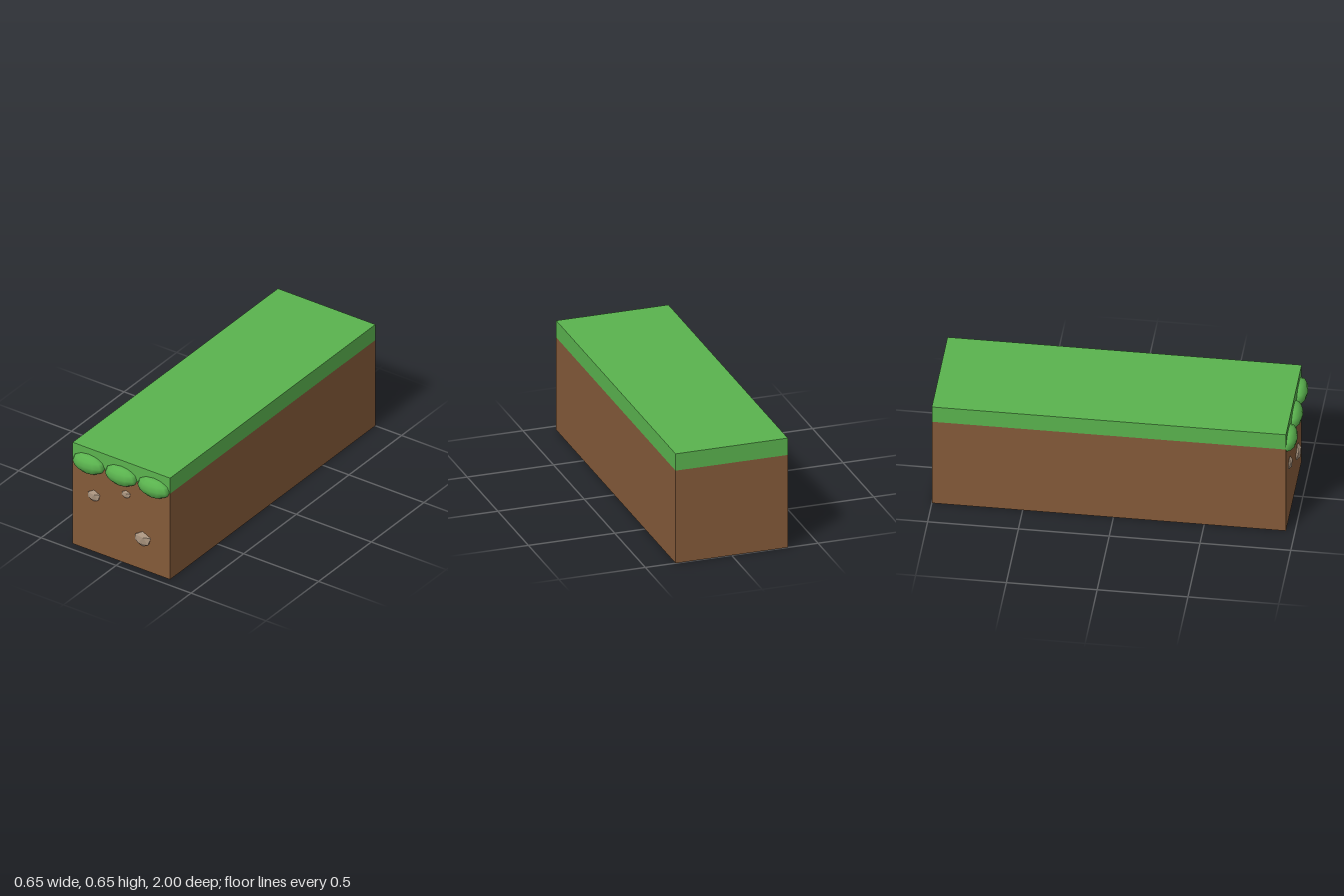
import * as THREE from 'three';

export function createModel() {
  const model = new THREE.Group();
  const material = (name, color, flatShading = false) => {
    const m = new THREE.MeshStandardMaterial({ color, flatShading });
    m.name = name;
    return m;
  };
  const grass = material('grass green', 0x5ab34e);
  const dirt = material('dirt brown', 0x845a39);
  const stone = material('stone beige', 0xa8937e, true);

  const add = (name, geometry, mat, x, y, z) => {
    const mesh = new THREE.Mesh(geometry, mat);
    mesh.name = name;
    mesh.position.set(x, y, z);
    model.add(mesh);
    return mesh;
  };

  // Long earth block with a turf slab on top
  const width = 0.65, length = 1.95, frontZ = 0.95;
  add('dirtBlock', new THREE.BoxGeometry(width, 0.55, length), dirt, 0, 0.275, frontZ - length / 2);
  add('grassSlab', new THREE.BoxGeometry(width, 0.1, length), grass, 0, 0.6, frontZ - length / 2);

  // Rounded tufts hanging over the front edge
  const tuft = new THREE.SphereGeometry(1, 12, 6);
  [-1, 0, 1].forEach((i) => {
    add('grassTuft', tuft, grass, i * 0.2165, 0.553, frontZ).scale.set(0.105, 0.059, 0.05);
  });

  // Faceted stones set in the front face, one corner pointing up
  const rock = new THREE.IcosahedronGeometry(1, 0).rotateZ(-Math.atan(2 / (1 + Math.sqrt(5))));
  [
    [-0.183, 0.358, 0.046],
    [0.0315, 0.4425, 0.0325],
    [0.1425, 0.1965, 0.0595],
  ].forEach(([x, y, r]) => {
    add('stone', rock, stone, x, y, frontZ).scale.set(r, r * 0.785, r * 0.4);
  });

  return model;
}
